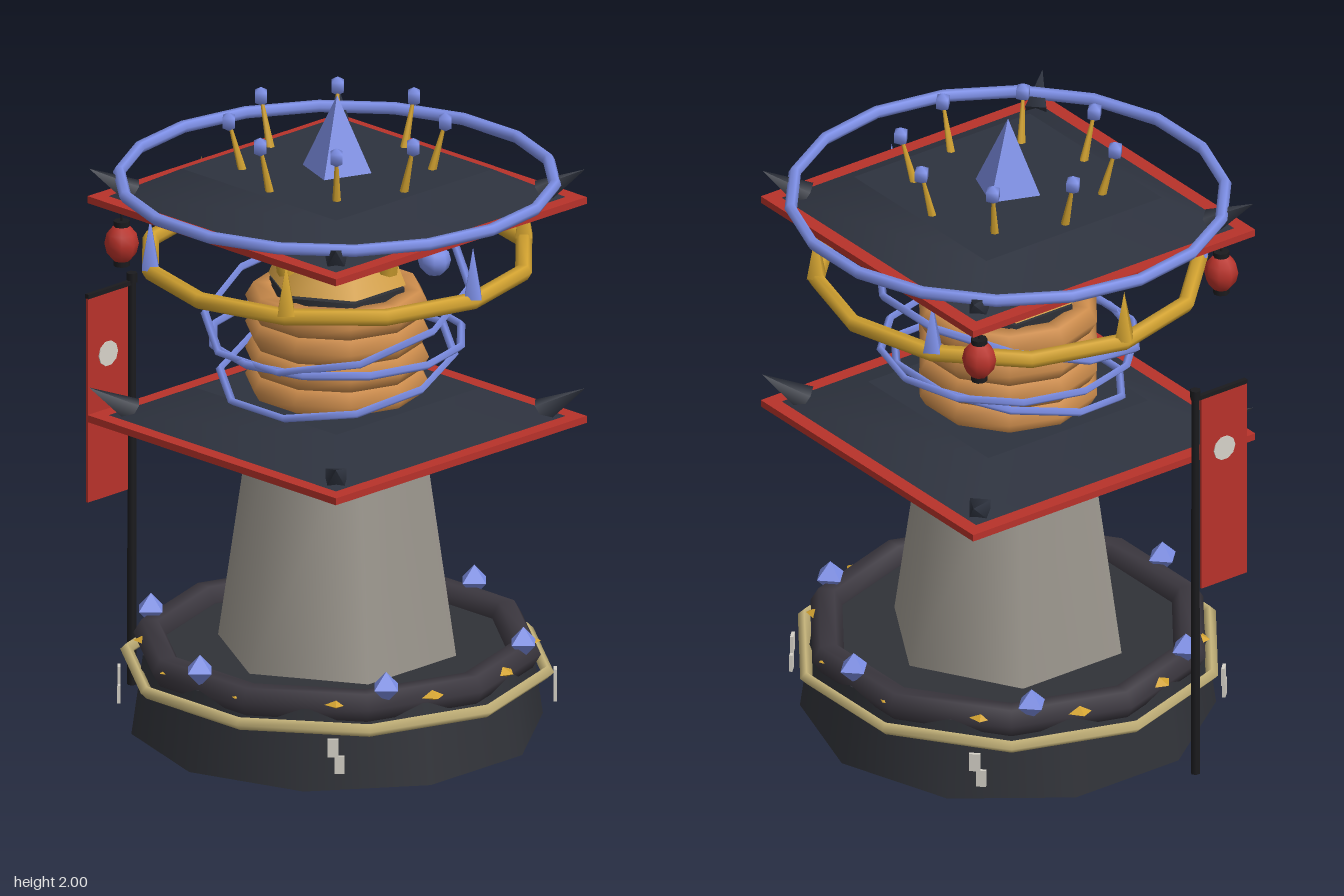
import * as THREE from 'three';

const mat = (color, extra = {}) => new THREE.MeshStandardMaterial({ color, ...extra });

export function createModel() {
  const model = new THREE.Group();
  const tower = new THREE.Group();
  tower.name = 'tower';
  tower.position.x = 0.01;
  model.add(tower);

  const M = {
    base: mat(0x303238), ringDark: mat(0x3c3840), tan: mat(0xc8b67c), stone: mat(0x9c978e),
    roof: mat(0x2d323e), red: mat(0xb8322a), orange: mat(0xcc8c4c), gold: mat(0xd2a230),
    amber: mat(0xdca648), blue: mat(0x7d8fe6), black: mat(0x1b1b1e), pale: mat(0xd6d2c8),
  };

  const add = (name, geo, material, x = 0, y = 0, z = 0, parent = tower) => {
    const m = new THREE.Mesh(geo, material);
    m.name = name;
    m.position.set(x, y, z);
    parent.add(m);
    return m;
  };
  // Upright tapered prism spanning y0..y1
  const prism = (name, rTop, rBottom, y0, y1, sides, material) =>
    add(name, new THREE.CylinderGeometry(rTop, rBottom, y1 - y0, sides), material, 0, (y0 + y1) / 2, 0);
  // Horizontal ring, optionally tilted about x
  const ring = (name, R, r, y, radial, tubular, material, tilt = 0) => {
    const geo = new THREE.TorusGeometry(R, r, radial, tubular).rotateX(Math.PI / 2);
    const m = add(name, geo, material, 0, y, 0);
    m.rotation.x = tilt;
    return m;
  };
  // Tapered rod between two points
  const rod = (name, a, b, ra, rb, sides, material) => {
    const dir = b.clone().sub(a);
    const m = add(name, new THREE.CylinderGeometry(rb, ra, dir.length(), sides), material);
    m.position.copy(a).addScaledVector(dir, 0.5);
    m.quaternion.setFromUnitVectors(new THREE.Vector3(0, 1, 0), dir.normalize());
    return m;
  };
  // Point at angle a from +z towards +x
  const polar = (r, a, y) => new THREE.Vector3(Math.sin(a) * r, y, Math.cos(a) * r);
  const around = (n, fn, start = 0) => {
    for (let i = 0; i < n; i++) fn(start + (i / n) * Math.PI * 2, i);
  };

  // Base drum and its rings
  prism('base', 0.59, 0.625, 0, 0.25, 10, M.base);
  ring('baseTrim', 0.64, 0.02, 0.2, 4, 10, M.tan);
  ring('baseRing', 0.57, 0.05, 0.255, 6, 10, M.ringDark);

  // Gold studs and blue gems on the base ring
  around(12, (a) => {
    const p = polar(0.575, a, 0.265);
    const stud = add('ringStud', new THREE.OctahedronGeometry(0.05), M.gold, p.x, p.y, p.z);
    stud.scale.set(1, 0.35, 0.75);
    stud.rotation.y = a;
  }, Math.PI / 12);
  around(6, (a) => {
    const p = polar(0.58, a, 0.312);
    add('baseGem', new THREE.OctahedronGeometry(0.05), M.blue, p.x, p.y, p.z);
  });

  // Staggered pale marks at the base diagonals
  around(4, (a) => {
    const mark = new THREE.Group();
    mark.name = 'baseMark';
    mark.position.copy(polar(0.655, a, 0.125));
    mark.rotation.y = a;
    tower.add(mark);
    add('markUpper', new THREE.BoxGeometry(0.034, 0.058, 0.01), M.pale, -0.009, 0.027, 0, mark);
    add('markLower', new THREE.BoxGeometry(0.03, 0.055, 0.01), M.pale, 0.011, -0.026, 0, mark);
  }, Math.PI / 4);

  // Stone shaft
  prism('shaft', 0.262, 0.372, 0.24, 1.0, 6, M.stone);

  // Square roofs with red eaves and corner horns
  const roof = (y, topHalf) => {
    add('eave', new THREE.BoxGeometry(1.06, 0.022, 1.06), M.red, 0, y + 0.011, 0);
    const slab = prism('roof', topHalf * Math.SQRT2, 0.485 * Math.SQRT2, y + 0.022, y + 0.11, 4, M.roof);
    slab.rotation.y = Math.PI / 4;
    around(4, (a) => rod('roofHorn', polar(0.61, a, y + 0.035), polar(0.745, a, y + 0.11),
      0.045, 0, 4, M.roof), Math.PI / 4);
  };
  roof(0.958, 0.3);
  roof(1.655, 0.33);

  // Coil stack around a dark core
  prism('core', 0.21, 0.21, 1.0, 1.405, 6, M.base);
  for (let i = 0; i < 4; i++) ring('coil', 0.23, 0.05, 1.1 + i * 0.083, 6, 10, M.orange);

  // Orbiting hoops
  ring('hoopUpper', 0.41, 0.013, 1.35, 4, 10, M.blue, 0.285);
  ring('hoopMiddle', 0.385, 0.013, 1.236, 4, 12, M.blue);
  ring('hoopLower', 0.36, 0.013, 1.152, 4, 10, M.blue, 0.21);

  // Collar above the coils
  prism('collar', 0.18, 0.214, 1.415, 1.5, 6, M.amber);

  // Gold ring with alternating spikes
  ring('goldRing', 0.58, 0.026, 1.49, 6, 12, M.gold);
  around(6, (a, i) => {
    const p = polar(0.58, a, 1.58);
    add('ringSpike', new THREE.ConeGeometry(0.036, 0.16, 4), i % 2 ? M.gold : M.blue, p.x, p.y, p.z);
  }, Math.PI / 2);

  // Crystal cluster below the upper roof
  around(8, (a) => rod('clusterCrystal', polar(0.03, a, 1.5), polar(0.17, a, 1.63), 0.025, 0.045, 5, M.blue), Math.PI / 8);

  // Central crystal
  const crystal = add('centralCrystal', new THREE.OctahedronGeometry(1), M.blue, 0, 1.755, 0);
  crystal.scale.set(0.115, 0.245, 0.115);
  crystal.rotation.y = 0.43;

  // Leaning pins tipped with small orbs
  around(8, (a) => {
    rod('crownPin', polar(0.215, a, 1.49), polar(0.322, a, 1.905), 0.03, 0.005, 6, M.gold);
    const p = polar(0.325, a, 1.915);
    add('pinOrb', new THREE.SphereGeometry(0.03, 4, 3), M.blue, p.x, p.y, p.z);
  });

  // Orb on a side arm
  rod('orbArm', new THREE.Vector3(0.05, 1.565, -0.03), new THREE.Vector3(0.36, 1.565, -0.03), 0.016, 0.016, 6, M.gold);
  add('armOrb', new THREE.SphereGeometry(0.05, 8, 6), M.blue, 0.385, 1.565, -0.03);

  // Halo around the upper roof
  ring('halo', 0.657, 0.019, 1.735, 6, 18, M.blue);

  // Hanging lanterns on the right side
  for (const z of [-0.455, 0.455]) {
    const lantern = new THREE.Group();
    lantern.name = 'lantern';
    lantern.position.set(-0.46, 1.527, z);
    tower.add(lantern);
    add('lanternBody', new THREE.SphereGeometry(0.052, 8, 6), M.red, 0, 0, 0, lantern).scale.y = 1.2;
    for (const s of [-1, 1])
      add('lanternCap', new THREE.CylinderGeometry(0.025, 0.025, 0.02, 8), M.black, 0, s * 0.061, 0, lantern);
    add('lanternCord', new THREE.CylinderGeometry(0.004, 0.004, 0.07, 5), M.black, 0, 0.1, 0, lantern);
  }

  // Banner on a free-standing pole
  const banner = new THREE.Group();
  banner.name = 'banner';
  banner.position.set(-0.677, 0, 0.187);
  model.add(banner);
  add('pole', new THREE.CylinderGeometry(0.013, 0.015, 1.29, 6), M.black, 0, 0.645, 0, banner);
  add('poleCap', new THREE.CylinderGeometry(0.017, 0.017, 0.03, 6), M.black, 0, 1.295, 0, banner);
  add('crossbar', new THREE.BoxGeometry(0.014, 0.014, 0.2), M.black, 0, 1.28, 0.09, banner);
  add('cloth', new THREE.BoxGeometry(0.008, 0.65, 0.17), M.red, 0, 0.95, 0.105, banner);
  add('clothDisc', new THREE.CylinderGeometry(0.04, 0.04, 0.014, 10).rotateZ(Math.PI / 2), M.pale, 0, 1.08, 0.105, banner);

  return model;
}
